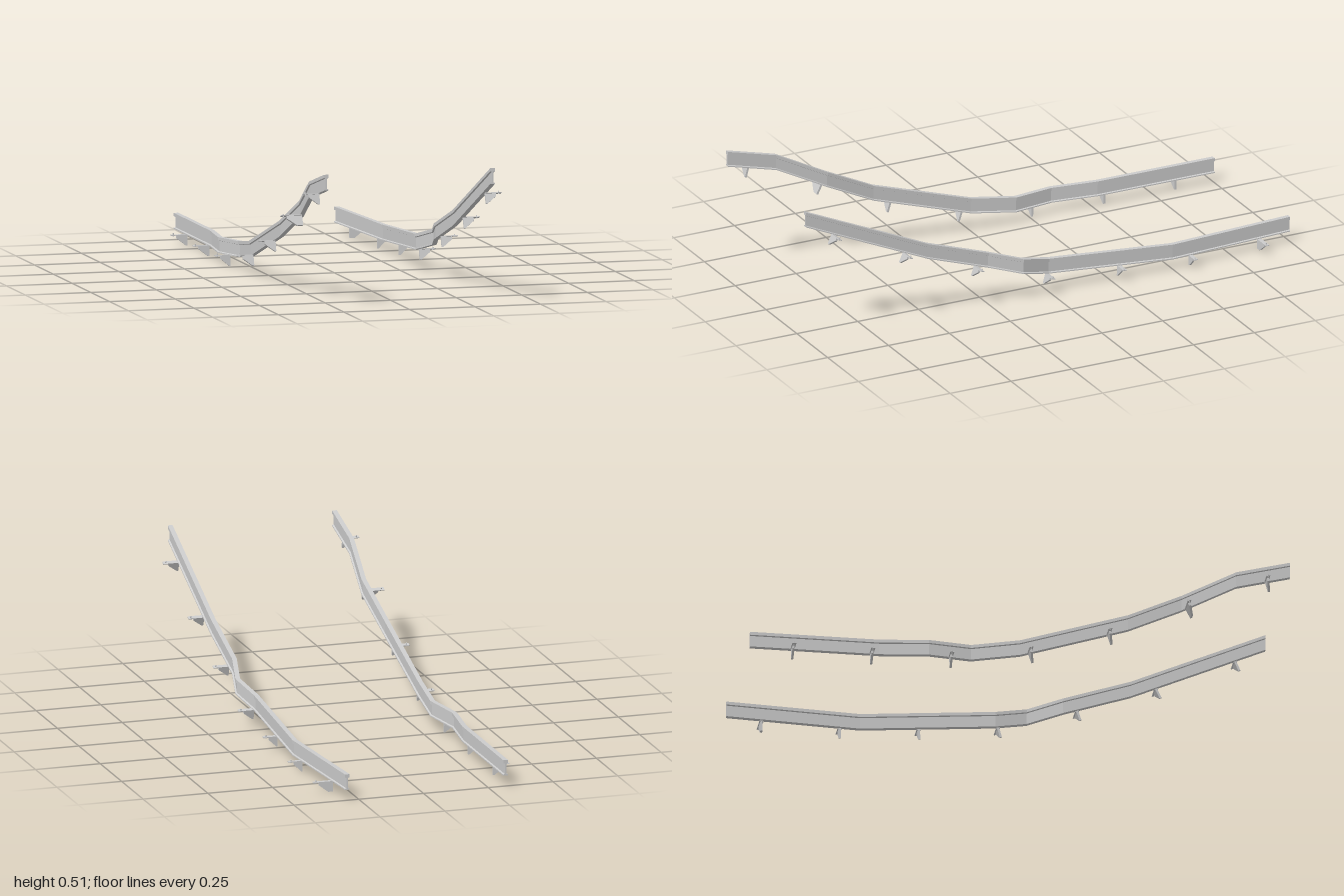
import * as THREE from 'three';

const material = new THREE.MeshStandardMaterial({ color: 0xcccccc, flatShading: true, side: THREE.DoubleSide });

// I-beam cross-section: [x from the centre line, y above the rail bottom]
const H = 0.059;
const half = [[0.009, 0], [0.009, 0.004], [0.003, 0.006], [0.003, H - 0.014], [0.009, H - 0.012], [0.009, H]];
const section = [...half, ...half.map(([x, y]) => [-x, y]).reverse()];

// Path stations from front to back: [z, centre x, bottom y]
const rightPath = [
  [1, 0.317, 0.417], [0.5, 0.317, 0.195], [0.25, 0.317, 0.111], [0.12, 0.347, 0.072],
  [0, 0.315, 0.039], [-0.5, 0.332, 0.005], [-1, 0.294, 0.005],
];
const leftPath = [
  [1, -0.317, 0.417], [0.8, -0.317, 0.365], [0.6, -0.298, 0.265], [0.4, -0.317, 0.165],
  [0, -0.317, 0.037], [-0.18, -0.306, 0.011], [-0.34, -0.338, 0.006], [-0.52, -0.317, 0.005], [-1, -0.317, 0.005],
];

// Sweep the section along a path, with both ends capped
function railGeometry(path) {
  const pos = [];
  const n = section.length;
  const point = (k, i) => [path[k][1] + section[i][0], path[k][2] + section[i][1], path[k][0]];
  for (let k = 0; k < path.length - 1; k++) {
    for (let i = 0; i < n; i++) {
      const j = (i + 1) % n;
      const a = point(k, i), b = point(k, j), c = point(k + 1, j), d = point(k + 1, i);
      pos.push(...a, ...d, ...c, ...a, ...c, ...b);
    }
  }
  const outline = section.map(([x, y]) => new THREE.Vector2(x, y));
  const last = path.length - 1;
  for (const [a, b, c] of THREE.ShapeUtils.triangulateShape(outline, [])) {
    pos.push(...point(0, a), ...point(0, b), ...point(0, c));
    pos.push(...point(last, a), ...point(last, c), ...point(last, b));
  }
  const geometry = new THREE.BufferGeometry();
  geometry.setAttribute('position', new THREE.Float32BufferAttribute(pos, 3));
  geometry.computeVertexNormals();
  return geometry;
}

// Rail position and slope at a given z
function sample(path, z) {
  let k = 0;
  while (k < path.length - 2 && path[k + 1][0] > z) k++;
  const [z0, x0, y0] = path[k], [z1, x1, y1] = path[k + 1];
  const t = (z - z0) / (z1 - z0);
  return { x: x0 + t * (x1 - x0), y: y0 + t * (y1 - y0), tilt: -Math.atan2(y1 - y0, z1 - z0) };
}

function part(name, geometry, parent) {
  const mesh = new THREE.Mesh(geometry, material);
  mesh.name = name;
  parent.add(mesh);
  return mesh;
}

// Gusset, foot plate and bolt on the outer side of a rail
function addBracket(rail, path, side, z) {
  const { x, y, tilt } = sample(path, z);
  const bracket = new THREE.Group();
  bracket.name = 'bracket';
  bracket.position.set(0, y + 0.001, z);
  bracket.rotation.x = tilt;
  const inner = Math.abs(x) + 0.002;
  const shoulder = Math.max(inner + 0.004, 0.325);
  const profile = [[inner, 0], [0.36, 0], [0.36, 0.014], [shoulder, 0.041], [inner, 0.041]];
  const shape = new THREE.Shape(profile.map(([px, py]) => new THREE.Vector2(side * px, py)));
  const gusset = part('gusset', new THREE.ExtrudeGeometry(shape, { depth: 0.008, bevelEnabled: false }), bracket);
  gusset.position.z = -0.004;
  const plate = part('footPlate', new THREE.BoxGeometry(0.382 - inner, 0.003, 0.015), bracket);
  plate.position.set(side * (0.382 + inner) / 2, 0.0015, 0);
  const bolt = part('bolt', new THREE.CylinderGeometry(0.0025, 0.0025, 0.012, 8), bracket);
  bolt.position.set(side * 0.372, 0, 0);
  rail.add(bracket);
}

function addRail(model, name, path, side, firstZ) {
  const rail = new THREE.Group();
  rail.name = name;
  part('beam', railGeometry(path), rail);
  for (let i = 0; i < 7; i++) addBracket(rail, path, side, firstZ - i * 0.2925);
  model.add(rail);
}

export function createModel() {
  const model = new THREE.Group();
  model.name = 'railTrack';
  addRail(model, 'leftRail', rightPath, 1, 0.888);
  addRail(model, 'rightRail', leftPath, -1, 0.911);
  return model;
}
